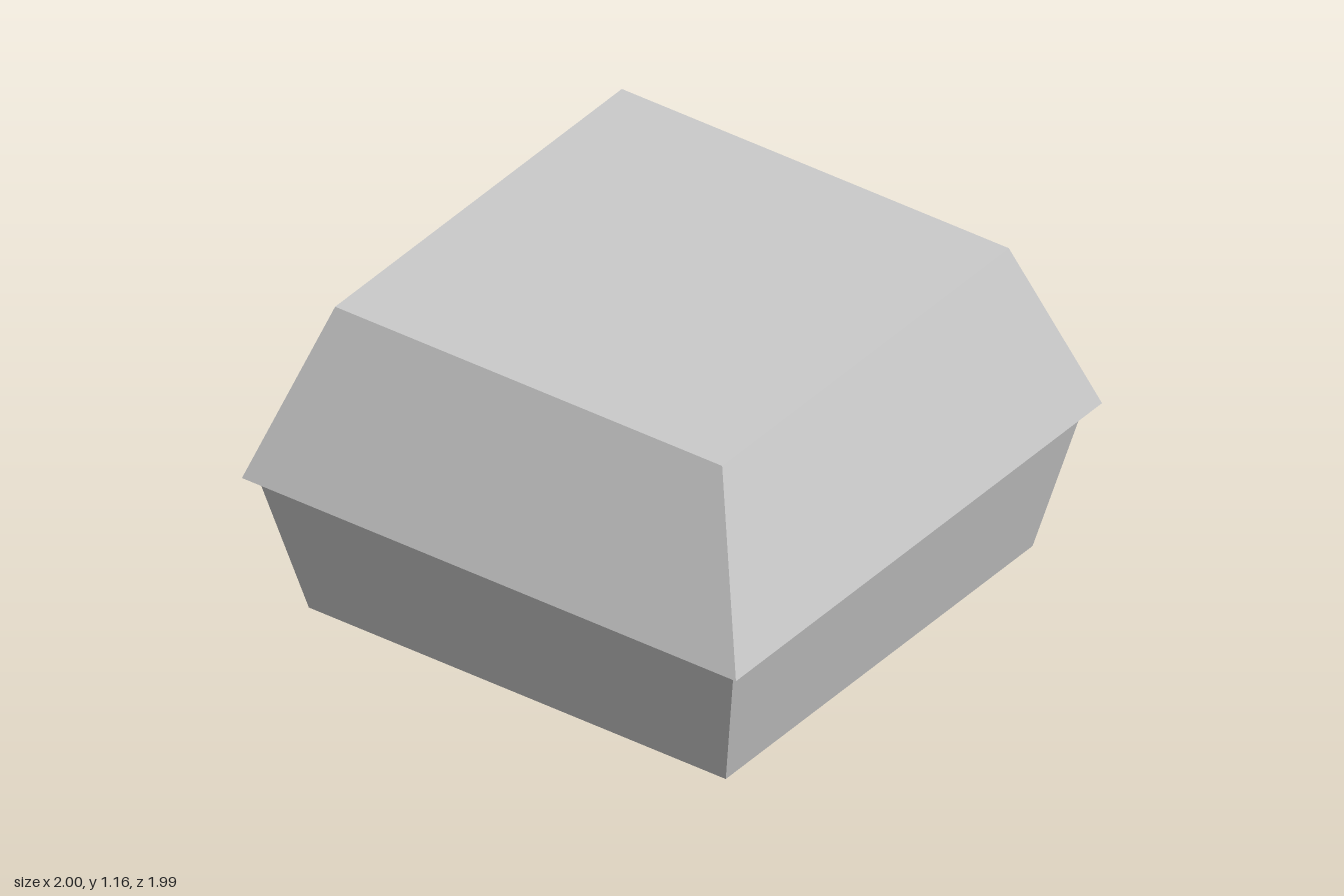
import * as THREE from 'three';

const material = new THREE.MeshStandardMaterial({ color: 0xcccccc, flatShading: true });

// Box whose top and bottom rectangles have their own half sizes [x, z]
function taperedBox(name, y0, y1, bottom, top) {
  const geometry = new THREE.BoxGeometry(2, y1 - y0, 2);
  geometry.translate(0, (y0 + y1) / 2, 0);
  const p = geometry.attributes.position;
  for (let i = 0; i < p.count; i++) {
    const half = p.getY(i) > (y0 + y1) / 2 ? top : bottom;
    p.setX(i, p.getX(i) * half[0]);
    p.setZ(i, p.getZ(i) * half[1]);
  }
  geometry.computeVertexNormals();
  const mesh = new THREE.Mesh(geometry, material);
  mesh.name = name;
  return mesh;
}

export function createModel() {
  const group = new THREE.Group();
  group.name = 'foodBox';

  // Tray widens upwards; lid overhangs its rim and narrows to a flat top
  const tray = taperedBox('tray', 0, 0.53, [0.838, 0.838], [0.957, 0.957]);
  tray.position.x = -0.007;
  const lid = taperedBox('lid', 0.528, 1.165, [1, 0.993], [0.783, 0.778]);
  group.add(tray, lid);
  return group;
}
